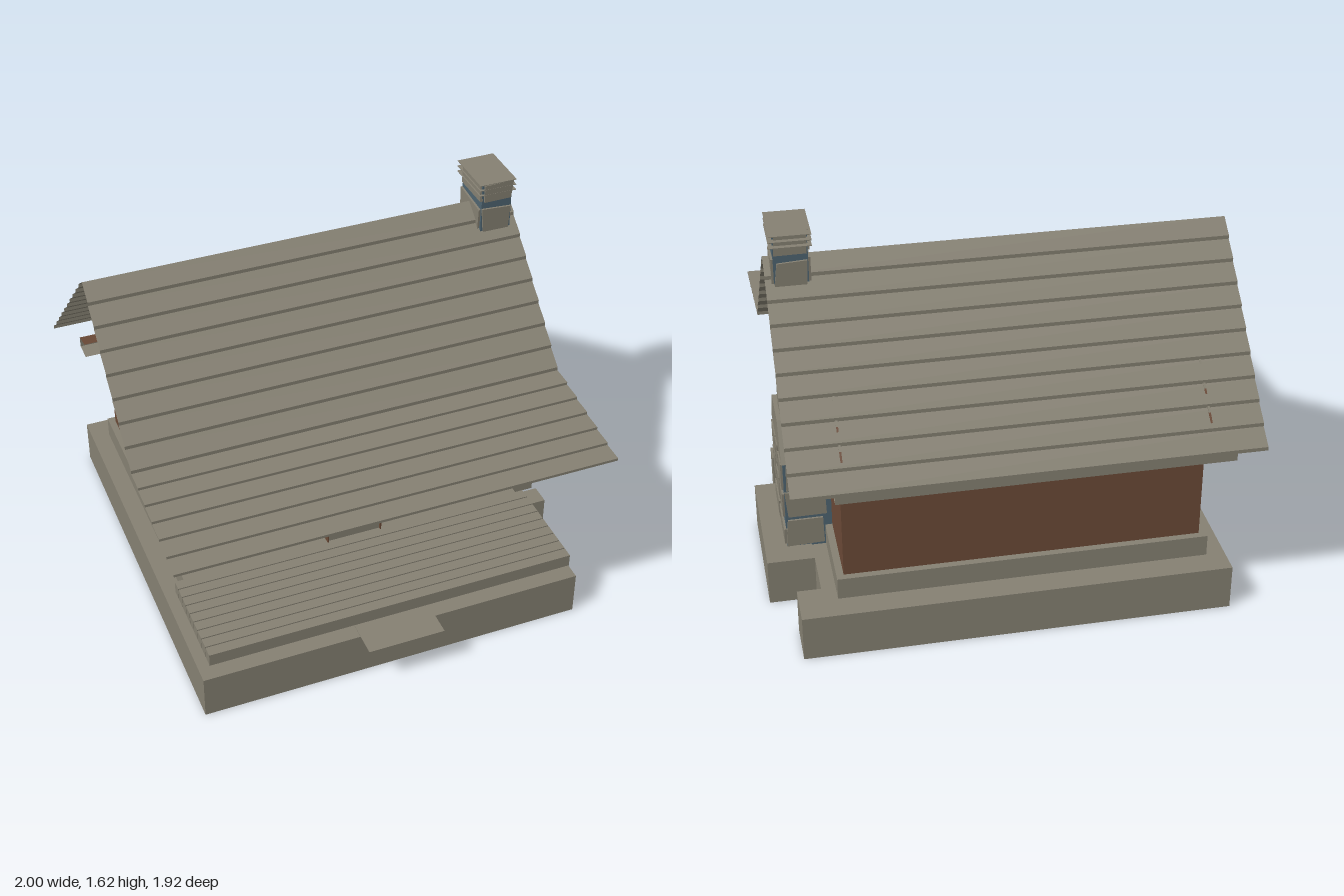
import * as THREE from 'three';

export function createModel() {
  const house = new THREE.Group();
  house.name = 'cottage';
  const paint = (name, color) =>
    Object.assign(new THREE.MeshStandardMaterial({ color, side: THREE.DoubleSide }), { name });
  const grey = paint('weathered grey', 0x858072);
  const brown = paint('brown timber', 0x6a4936);
  const blue = paint('slate blue', 0x4e6470);

  const add = (name, geo, mat, parent = house) => {
    const mesh = new THREE.Mesh(geo, mat);
    mesh.name = name;
    parent.add(mesh);
    return mesh;
  };
  // Box given by its limits on each axis
  const box = (name, mat, [x0, x1], [y0, y1], [z0, z1], parent) => {
    const geo = new THREE.BoxGeometry(x1 - x0, y1 - y0, z1 - z0);
    geo.translate((x0 + x1) / 2, (y0 + y1) / 2, (z0 + z1) / 2);
    return add(name, geo, mat, parent);
  };
  // Open sheet: a (z, y) profile swept along x, flat shaded
  const sheet = (name, mat, profile, x0, x1, parent) => {
    const pos = [];
    for (let i = 0; i < profile.length - 1; i++) {
      const [az, ay] = profile[i], [bz, by] = profile[i + 1];
      pos.push(x0, ay, az, x0, by, bz, x1, by, bz, x0, ay, az, x1, by, bz, x1, ay, az);
    }
    const geo = new THREE.BufferGeometry();
    geo.setAttribute('position', new THREE.Float32BufferAttribute(pos, 3));
    geo.computeVertexNormals();
    return add(name, geo, mat, parent);
  };
  const outline = pts => new THREE.Shape(pts.map(([x, y]) => new THREE.Vector2(x, y)));
  const slab = (pts, depth) =>
    new THREE.ExtrudeGeometry(outline(pts), { depth, bevelEnabled: false });

  // Ground blocks
  box('base', grey, [-0.9, 0.8], [0, 0.2], [-0.94, 0.86]);
  box('chimneyFooting', grey, [0.8, 1], [0, 0.205], [-0.54, 0.055]);
  box('sideBlock', grey, [0.8, 0.9], [0, 0.2], [0.27, 0.36]);
  box('cornerBlock', grey, [0.8, 0.9], [0, 0.2], [-0.94, -0.75]);
  box('foundation', grey, [-0.82, 0.74], [0.2, 0.295], [-0.83, 0.36]);
  box('frontStep', grey, [-0.21, 0.13], [0.2, 0.204], [0.78, 0.96]);

  // Porch deck planks
  const deck = new THREE.Group();
  deck.name = 'porchDeck';
  house.add(deck);
  const planks = 9, pw = 0.47 / planks;
  for (let i = 0; i < planks; i++) {
    const z = 0.36 + i * pw;
    box('deckPlank', grey, [-0.86, 0.78], [0.24, 0.298], [z, z + pw - 0.005], deck);
  }

  // Walls
  box('walls', brown, [-0.79, 0.71], [0.295, 0.88], [-0.8, 0.32]);

  // Door with jambs and a flared lintel
  box('door', grey, [-0.16, 0.08], [0.3, 0.8], [0.32, 0.36]);
  for (const x of [-0.166, 0.08]) box('doorJamb', brown, [x, x + 0.006], [0.3, 0.79], [0.32, 0.37]);
  add('doorLintel', slab([[-0.16, 0.79], [0.08, 0.79], [0.1, 0.85], [-0.18, 0.85]], 0.05), grey)
    .position.z = 0.32;

  // Windows: glass in a shallow thin casing
  for (const x of [-0.61, 0.305]) {
    const win = new THREE.Group();
    win.name = 'window';
    house.add(win);
    const r = x + 0.225;
    box('glass', blue, [x, r], [0.52, 0.76], [0.32, 0.325], win);
    for (const y of [0.517, 0.76]) box('sill', grey, [x, r], [y, y + 0.003], [0.32, 0.37], win);
    for (const s of [x - 0.003, r]) box('casing', brown, [s, s + 0.003], [0.517, 0.763], [0.32, 0.37], win);
  }

  // Lapped board roof
  const lapped = (a, b, rows, lift = 0.016) => {
    const pts = [];
    const at = t => [a[0] + (b[0] - a[0]) * t, a[1] + (b[1] - a[1]) * t];
    for (let i = 0; i < rows; i++) {
      const low = at((i + 1) / rows);
      pts.push(at(i / rows), [low[0], low[1] + lift]);
    }
    return [...pts, b];
  };
  const ridge = [-0.245, 1.485], bend = [0.33, 0.915];
  sheet('frontRoof', grey, lapped(ridge, bend, 8), -1, 0.92);
  sheet('backRoof', grey, lapped(ridge, [-0.96, 0.78], 10), -1, 0.92);
  sheet('porchRoof', grey, lapped(bend, [0.89, 0.838], 6, 0.012), -1, 0.92);

  // Beam under the back eave
  sheet('eaveBeam', grey, [[-0.8, 0.7], [-0.89, 0.7], [-0.89, 0.75]], -0.9, 0.74);
  sheet('eaveBeamTop', brown, [[-0.89, 0.75], [-0.8, 0.77]], -0.9, 0.74);

  // Spaced gable slats at both ends
  const gable = (y0, y1) => {
    const front = y => 0.345 - (y - 0.9) * 1.07, back = y => -0.85 + (y - 0.9) * 1.07;
    return [[-front(y0), y0], [-back(y0), y0], [-back(y1), y1], [-front(y1), y1]];
  };
  for (const x of [-0.79, 0.702]) {
    const end = new THREE.Group();
    end.name = 'gable';
    house.add(end);
    for (let i = 0; i < 8; i++) {
      const y = 0.88 + i * 0.069;
      for (const [mat, lo, hi] of [[brown, 0, 0.03], [grey, 0.03, 0.048]]) {
        const geo = slab(gable(y + lo, y + hi), 0.008).rotateY(Math.PI / 2);
        add('gableSlat', geo, mat, end).position.x = x;
      }
    }
  }

  // Chimney: mortar core, sloped shoulder and stones
  const chimney = new THREE.Group();
  chimney.name = 'chimney';
  house.add(chimney);
  box('lowerCore', blue, [0.71, 0.905], [0.2, 0.62], [-0.435, -0.045], chimney);
  box('upperCore', blue, [0.745, 0.885], [0.76, 1.62], [-0.335, -0.14], chimney);
  const shoulder = slab([[0.035, 0.62], [0.445, 0.62], [0.34, 0.775], [0.13, 0.775]], 0.18);
  add('shoulder', shoulder.rotateY(Math.PI / 2), grey, chimney).position.x = 0.73;

  let seed = 7;
  const jitter = () => ((seed = (seed * 16807) % 2147483647) / 2147483647 - 0.5) * 0.018;
  // Rough stone on a face: u runs right as seen from outside
  const stone = (turn, x, z, [u0, u1, y0, y1]) => {
    const pts = [[u0, y0], [u1, y0], [u1, y1], [u0, y1]].map(([u, y]) => [u + jitter(), y + jitter()]);
    const mesh = add('stone', slab(pts, 0.014), grey, chimney);
    mesh.rotation.y = turn;
    mesh.position.set(x, 0, z);
  };
  const outerLow = [
    [0.05, 0.22, 0.215, 0.295], [0.255, 0.435, 0.22, 0.3],
    [0.045, 0.15, 0.36, 0.47], [0.17, 0.29, 0.35, 0.455], [0.32, 0.43, 0.355, 0.47],
    [0.05, 0.19, 0.495, 0.61], [0.2, 0.29, 0.5, 0.615], [0.305, 0.43, 0.49, 0.61]];
  const outerHigh = [
    [0.22, 0.335, 0.79, 0.92], [0.145, 0.26, 0.96, 1.06], [0.14, 0.2, 1.1, 1.21],
    [0.23, 0.335, 1.1, 1.21], [0.15, 0.255, 1.26, 1.36], [0.2, 0.33, 1.4, 1.51],
    [0.17, 0.27, 1.56, 1.615]];
  outerLow.forEach(s => stone(Math.PI / 2, 0.9, 0, s));
  outerHigh.forEach(s => stone(Math.PI / 2, 0.88, 0, s));
  const rowsLow = [[0.215, 0.335], [0.35, 0.475], [0.49, 0.61]];
  const rowsHigh = [[0.79, 0.9], [0.93, 1.04], [1.08, 1.19], [1.23, 1.34], [1.38, 1.5], [1.53, 1.615]];
  for (const [y0, y1] of rowsLow) {
    stone(0, 0, -0.05, [0.74, 0.9, y0, y1]);
    stone(Math.PI, 0, -0.43, [-0.9, -0.74, y0, y1]);
  }
  for (const [y0, y1] of rowsHigh) {
    stone(0, 0, -0.145, [0.75, 0.88, y0, y1]);
    stone(Math.PI, 0, -0.33, [-0.88, -0.75, y0, y1]);
    if (y0 > 1.3) stone(-Math.PI / 2, 0.75, 0, [-0.33, -0.145, y0, y1]);
  }

  // Stacked thin cap plates
  for (const y of [1.57, 1.595, 1.62])
    box('chimneyCap', grey, [0.73, 0.9], [y, y + 0.003], [-0.365, -0.13], chimney);

  return house;
}
